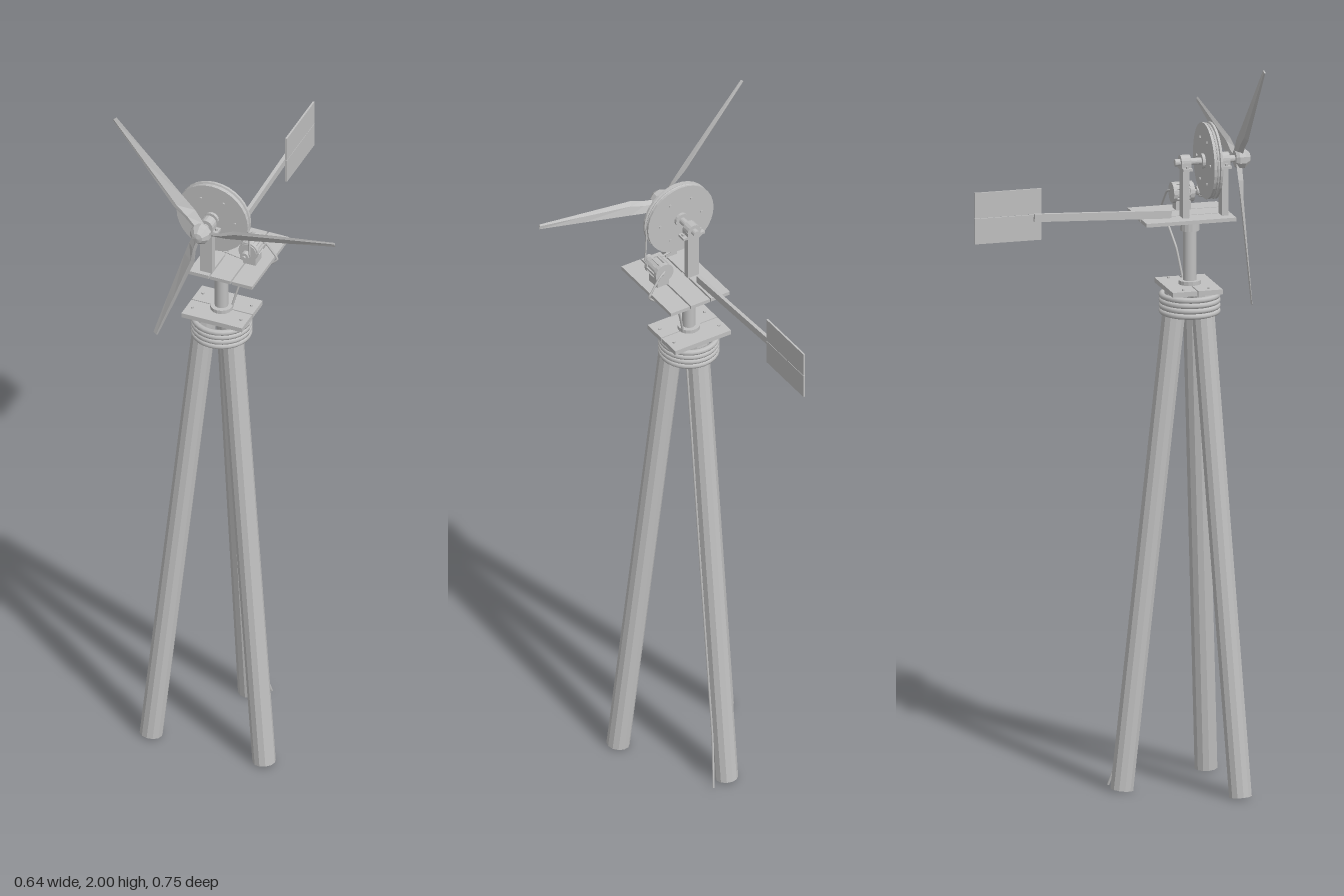
import * as THREE from 'three';

const CX = -0.07, CZ = 0.211, HUB_Y = 1.697;
const grey = new THREE.MeshStandardMaterial({ color: 0xc0c0c0 });
grey.name = 'weathered grey';
const greyFlat = grey.clone();
greyFlat.flatShading = true;
greyFlat.name = 'weathered grey flat';
const V = (x, y, z) => new THREE.Vector3(x, y, z);

export function createModel() {
  const model = new THREE.Group();
  model.name = 'windTurbine';

  const add = (name, geo, x = 0, y = 0, z = 0, mat = greyFlat) => {
    const m = new THREE.Mesh(geo, mat);
    m.name = name;
    m.position.set(x, y, z);
    model.add(m);
    return m;
  };
  const box = (name, w, h, d, x, y, z) => add(name, new THREE.BoxGeometry(w, h, d), x, y, z);
  // Cylinder whose axis runs front to back
  const axle = (name, rFront, rBack, z0, z1, x, y, sides = 16) =>
    add(name, new THREE.CylinderGeometry(rFront, rBack, z1 - z0, sides).rotateX(Math.PI / 2), x, y, (z0 + z1) / 2);
  // Cylinder between two points
  const pole = (name, a, b, r, sides = 12) => {
    const m = add(name, new THREE.CylinderGeometry(r, r, a.distanceTo(b), sides));
    m.position.copy(a).lerp(b, 0.5);
    m.quaternion.setFromUnitVectors(V(0, 1, 0), b.clone().sub(a).normalize());
    return m;
  };

  // Tripod legs
  pole('leftFrontLeg', V(0.092, 0.005, 0.303), V(-0.034, 1.35, 0.233), 0.031);
  pole('rightFrontLeg', V(-0.232, 0.005, 0.303), V(-0.106, 1.35, 0.233), 0.031);
  pole('backLeg', V(CX, 0.005, 0.025), V(CX, 1.35, 0.174), 0.031);

  // Rope lashing around the leg tops
  for (let i = 0; i < 4; i++) {
    const rope = new THREE.TorusGeometry(0.074, 0.008, 8, 28).rotateX(Math.PI / 2);
    add('ropeLashing', rope, CX, 1.294 + i * 0.0145, CZ, grey);
  }

  // Lower platform of two boards, with bolts
  for (const z of [0.173, 0.243]) {
    box('lowerBoard', 0.174, 0.013, 0.067, CX, 1.36, z);
    for (const s of [-1, 1]) add('boardBolt', new THREE.CylinderGeometry(0.004, 0.004, 0.006, 6), CX + s * 0.07, 1.368, z);
  }

  // Mast with collars
  add('mast', new THREE.CylinderGeometry(0.018, 0.018, 0.2, 16), CX, 1.445, CZ, grey);
  add('mastCollar', new THREE.CylinderGeometry(0.026, 0.026, 0.03, 16), CX, 1.527, CZ);
  add('mastFoot', new THREE.CylinderGeometry(0.03, 0.03, 0.012, 16), CX, 1.371, CZ);

  // Upper platform of three planks
  for (let i = 0; i < 3; i++) box('upperPlank', 0.058, 0.01, 0.246, -0.086 + i * 0.0622, 1.543, 0.203);

  // Bearing posts and pillow blocks
  for (const z of [0.197, 0.304]) {
    box('bearingPost', 0.034, 0.136, 0.018, CX, 1.614, z);
    box('bearingFlange', 0.066, 0.007, 0.026, CX, 1.682, z);
    box('bearingBase', 0.04, 0.016, 0.026, CX, 1.69, z);
    axle('bearingHousing', 0.02, 0.02, z - 0.013, z + 0.013, CX, HUB_Y);
    for (const s of [-1, 1]) add('bearingBolt', new THREE.CylinderGeometry(0.004, 0.004, 0.006, 6), CX + s * 0.026, 1.688, z);
  }

  // Rotor shaft and hub
  axle('rotorShaft', 0.0095, 0.0095, 0.17, 0.35, CX, HUB_Y);
  const hub = [[0, 0.334], [0.022, 0.334], [0.028, 0.342], [0.028, 0.358], [0.015, 0.374], [0, 0.377]];
  add('hub', new THREE.LatheGeometry(hub.map(([r, z]) => new THREE.Vector2(r, z)), 10).rotateX(Math.PI / 2), CX, HUB_Y, 0);

  // Large grooved drive wheel
  const rim = [[0, 0.25], [0.102, 0.25], [0.102, 0.256], [0.097, 0.258], [0.097, 0.266], [0.102, 0.268], [0.102, 0.274], [0, 0.274]];
  add('driveWheel', new THREE.LatheGeometry(rim.map(([r, z]) => new THREE.Vector2(r, z)), 32).rotateX(Math.PI / 2), CX, HUB_Y, 0);
  axle('wheelBoss', 0.02, 0.02, 0.242, 0.282, CX, HUB_Y);
  for (let i = 0; i < 6; i++) {
    const a = i * Math.PI / 3;
    axle('wheelBolt', 0.004, 0.004, 0.247, 0.277, CX + 0.065 * Math.cos(a), HUB_Y + 0.065 * Math.sin(a), 6);
  }

  // Three tapered blades: stations of radius, low edge, high edge, thickness, twist
  const stations = [
    [0.015, -0.016, 0.004, 0.008, 0.010],
    [0.06, -0.021, 0.007, 0.008, 0.010],
    [0.1, -0.020, 0.016, 0.006, 0.008],
    [0.25, -0.015, 0.010, 0.005, 0.004],
    [0.388, -0.010, 0.004, 0.004, 0.001],
  ];
  const pos = [], idx = [];
  for (const [r, lo, hi, t, tw] of stations) {
    const mid = lo * 0.3 + hi * 0.7;
    pos.push(r, lo, -tw, r, mid, -t / 2, r, hi, tw * 0.8, r, mid, t / 2 + tw * 0.5);
  }
  for (let i = 0; i < stations.length - 1; i++) {
    for (let j = 0; j < 4; j++) {
      const a = i * 4 + j, b = i * 4 + (j + 1) % 4;
      idx.push(a, b, a + 4, b, b + 4, a + 4);
    }
  }
  const e = (stations.length - 1) * 4;
  idx.push(0, 2, 1, 0, 3, 2, e, e + 1, e + 2, e, e + 2, e + 3);
  const bladeGeo = new THREE.BufferGeometry();
  bladeGeo.setAttribute('position', new THREE.Float32BufferAttribute(pos, 3));
  bladeGeo.setIndex(idx);
  bladeGeo.computeVertexNormals();
  for (let i = 0; i < 3; i++) {
    add('blade', bladeGeo, CX, HUB_Y, 0.343).rotation.z = THREE.MathUtils.degToRad(10.5 + 120 * i);
  }

  // Generator with ribbed casing, cradle and pulley
  const GX = 0.02, GY = 1.593;
  axle('generatorBody', 0.024, 0.024, 0.188, 0.246, GX, GY);
  for (const z of [0.192, 0.238]) axle('generatorEndBell', 0.028, 0.028, z - 0.005, z + 0.005, GX, GY);
  for (let i = 0; i < 10; i++) {
    const a = i * Math.PI / 5;
    box('generatorRib', 0.006, 0.006, 0.036, GX + 0.0245 * Math.cos(a), GY + 0.0245 * Math.sin(a), 0.215).rotation.z = a;
  }
  box('generatorCradle', 0.036, 0.026, 0.04, GX, 1.56, 0.215);
  axle('generatorShaft', 0.005, 0.005, 0.24, 0.274, GX, GY, 8);
  axle('generatorPulley', 0.012, 0.012, 0.255, 0.269, GX, GY);

  // Drive belt along the outer tangents of wheel and pulley
  const dx = GX - CX, dy = GY - HUB_Y, R = 0.0985, r = 0.013;
  const phi = Math.atan2(dy, dx), beta = Math.acos((R - r) / Math.hypot(dx, dy));
  for (const s of [-1, 1]) {
    const c = Math.cos(phi + s * beta), n = Math.sin(phi + s * beta);
    pole('beltRun', V(CX + R * c, HUB_Y + R * n, 0.262), V(GX + r * c, GY + r * n, 0.262), 0.0025, 6);
  }
  add('beltLoop', new THREE.TorusGeometry(R - 0.001, 0.003, 6, 32), CX, HUB_Y, 0.262);

  // Tail boom and two-board vane
  const boom = box('tailBoom', 0.01, 0.021, 0.376, -0.068, 1.566, -0.027);
  boom.rotation.x = 0.045;
  for (const y of [1.5465, 1.617]) box('tailVane', 0.005, 0.069, 0.183, -0.0595, y, -0.284);

  // Power cable down the mast, and again along the back leg
  const cable = (name, pts) => add(name, new THREE.TubeGeometry(
    new THREE.CatmullRomCurve3(pts, false, 'catmullrom', 0.15), 40, 0.0032, 6), 0, 0, 0, grey);
  cable('upperCable', [V(GX, 1.6, 0.186), V(0.04, 1.592, 0.18), V(0.075, 1.545, 0.176), V(0.07, 1.535, 0.178),
    V(-0.022, 1.455, 0.188), V(-0.045, 1.37, 0.2), V(-0.045, 1.34, 0.2)]);
  cable('lowerCable', [V(-0.045, 1.34, 0.19), V(-0.037, 1.28, 0.168), V(-0.036, 0.7, 0.103),
    V(-0.036, 0.14, 0.04), V(-0.016, 0.005, 0.003)]);

  return model;
}
